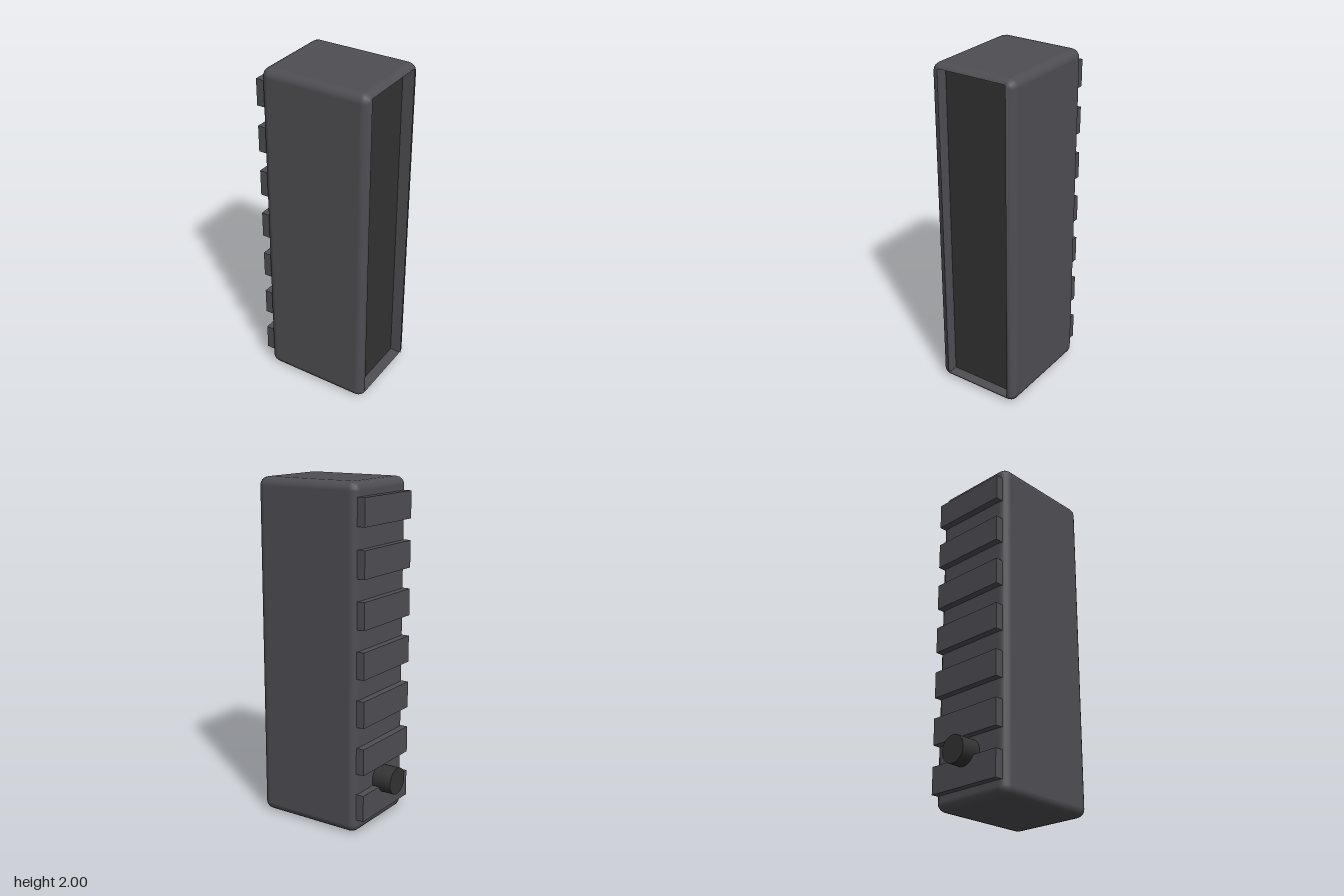
import * as THREE from 'three';

const bodyMat = new THREE.MeshStandardMaterial({ color: 0x4f4e53 });
bodyMat.name = 'charcoal grey';
const darkMat = new THREE.MeshStandardMaterial({ color: 0x333333 });
darkMat.name = 'dark grey';

// Case dimensions: half sizes in z and y, edge radius, back and front ends in x
const HZ = 0.265, HY = 1, R = 0.05, BACK = -0.272, FRONT = 0.391;
// Opening in the +x end and the depth of its recess
const OZ = HZ - R, OY = 0.972, PANEL_X = 0.32;
const STEPS = 4;

// Rounded case lofted along x, left open at the +x end
function caseGeometry() {
  const pos = [], nor = [], idx = [];
  const per = 4 * (STEPS + 1);
  const sections = [];
  for (let i = 0; i <= STEPS; i++) sections.push([i / STEPS * Math.PI / 2, -1]);
  for (let i = STEPS; i >= 0; i--) sections.push([i / STEPS * Math.PI / 2, 1]);

  for (const [angle, end] of sections) {
    const rad = R * Math.sin(angle);
    const halfZ = HZ - R + rad;
    const halfY = end > 0 ? Math.max(HY - R + rad, OY) : HY - R + rad;
    for (let k = 0; k < 4; k++) {
      const sz = k === 0 || k === 3 ? 1 : -1, sy = k < 2 ? 1 : -1;
      for (let j = 0; j <= STEPS; j++) {
        const a = (k + j / STEPS) * Math.PI / 2;
        const z = sz * (halfZ - rad) + rad * Math.cos(a);
        const y = sy * (halfY - rad) + rad * Math.sin(a);
        // Distance past the unrounded core fixes both x and the normal
        const dz = Math.max(Math.abs(z) - (HZ - R), 0);
        const dy = Math.max(Math.abs(y) - (HY - R), 0);
        const dx = Math.sqrt(Math.max(R * R - dz * dz - dy * dy, 0));
        pos.push(end > 0 ? FRONT - R + dx : BACK + R - dx, y, z);
        const n = new THREE.Vector3(end * dx, sy * dy, sz * dz).normalize();
        nor.push(n.x, n.y, n.z);
      }
    }
  }
  for (let s = 0; s < sections.length - 1; s++) {
    for (let j = 0; j < per; j++) {
      const a = s * per + j, b = s * per + (j + 1) % per;
      idx.push(a, a + per, b, b, a + per, b + per);
    }
  }
  const g = new THREE.BufferGeometry();
  g.setAttribute('position', new THREE.Float32BufferAttribute(pos, 3));
  g.setAttribute('normal', new THREE.Float32BufferAttribute(nor, 3));
  g.setIndex(idx);
  return g;
}

export function createModel() {
  const model = new THREE.Group();
  model.name = 'ribbedCase';
  const add = (name, geometry, material, x, y, z) => {
    const mesh = new THREE.Mesh(geometry, material);
    mesh.name = name;
    mesh.position.set(x, y, z);
    model.add(mesh);
    return mesh;
  };

  // Outer shell and its flat back face
  add('caseShell', caseGeometry(), bodyMat, 0, 1, 0);
  add('caseBack', new THREE.PlaneGeometry(2 * OZ, 2 * (HY - R)).rotateY(-Math.PI / 2),
    bodyMat, BACK, 1, 0);

  // Inner walls of the recess
  const lipX = FRONT - R + Math.sqrt(R * R - (OY - HY + R) ** 2);
  for (const s of [1, -1]) {
    const side = new THREE.PlaneGeometry(FRONT - PANEL_X, 2 * OY);
    if (s > 0) side.rotateY(Math.PI);
    add('recessSide', side, bodyMat, (FRONT + PANEL_X) / 2, 1, s * OZ);
    const ledge = new THREE.PlaneGeometry(lipX - PANEL_X, 2 * OZ).rotateX(s * Math.PI / 2);
    add('recessLedge', ledge, bodyMat, (lipX + PANEL_X) / 2, 1 + s * OY, 0);
  }

  // Dark panel at the bottom of the recess
  add('panel', new THREE.BoxGeometry(0.008, 2 * OY, 2 * OZ), darkMat, PANEL_X - 0.004, 1, 0);

  // Grip ribs on the back
  const rib = new THREE.BoxGeometry(0.065, 0.157, 0.478);
  for (let i = 0; i < 7; i++) {
    add('rib', rib, bodyMat, -0.2815, 0.162 + i * 0.28, 0);
  }

  // Round plug near the foot
  const plug = new THREE.CylinderGeometry(0.08, 0.08, 0.153, 32).rotateZ(Math.PI / 2);
  add('plug', plug, darkMat, -0.3165, 0.27, 0);

  return model;
}
